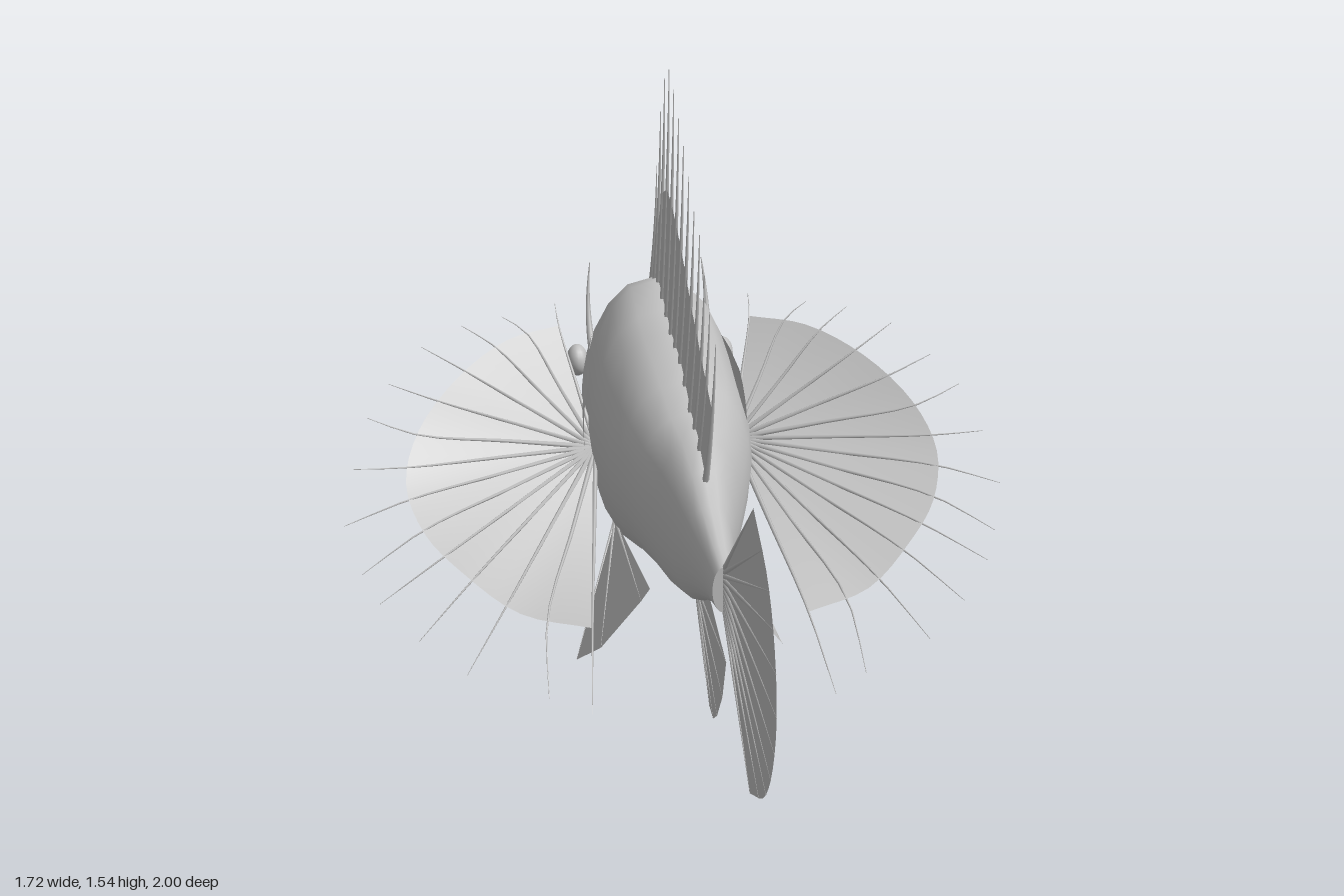
import * as THREE from 'three';
import { mergeVertices } from 'three/addons/utils/BufferGeometryUtils.js';

const grey = new THREE.MeshStandardMaterial({ color: 0xc0c0c0, side: THREE.DoubleSide });
grey.name = 'grey';

const V = (x, y, z) => new THREE.Vector3(x, y, z);

// Body stations: z, top, bottom, half width
const stations = [
  [0.43, 0.57, 0.455, 0.03], [0.35, 0.585, 0.44, 0.036], [0.22, 0.63, 0.385, 0.058],
  [0.14, 0.685, 0.34, 0.08], [0.05, 0.735, 0.315, 0.108], [-0.05, 0.757, 0.315, 0.14],
  [-0.15, 0.805, 0.3, 0.17], [-0.22, 0.835, 0.28, 0.186], [-0.38, 0.858, 0.225, 0.2],
  [-0.47, 0.89, 0.185, 0.205], [-0.6, 0.932, 0.16, 0.205], [-0.7, 0.91, 0.18, 0.2],
  [-0.8, 0.862, 0.235, 0.187], [-0.87, 0.822, 0.262, 0.168], [-0.935, 0.665, 0.335, 0.135],
  [-1, 0.51, 0.41, 0.1],
];

// Interpolated station at any z
function stationAt(z) {
  let i = 0;
  while (i < stations.length - 2 && z < stations[i + 1][0]) i++;
  const a = stations[i], b = stations[i + 1], t = (z - a[0]) / (b[0] - a[0]);
  return a.map((v, k) => v + (b[k] - v) * t);
}

// Closed oval ring of one station
function ring([z, top, bottom, w], n = 20) {
  return Array.from({ length: n + 1 }, (_, j) => {
    const a = ((j % n) / n) * Math.PI * 2, c = Math.cos(a);
    return V(w * Math.sign(c) * Math.abs(c) ** 0.88, (top + bottom) / 2 + ((top - bottom) / 2) * Math.sin(a), z);
  });
}

// Half width of the body at a point of its flank
function flankX(z, y) {
  const [, top, bottom, w] = stationAt(z);
  const s = (y - (top + bottom) / 2) / ((top - bottom) / 2);
  return w * Math.max(0, 1 - s * s) ** 0.44;
}

// Surface through rows of points
function skin(rows) {
  const n = rows[0].length, index = [];
  for (let i = 0; i < rows.length - 1; i++) {
    for (let j = 0; j < n - 1; j++) {
      const a = i * n + j, b = a + 1, c = a + n, d = c + 1;
      index.push(a, c, b, b, c, d);
    }
  }
  const g = new THREE.BufferGeometry().setFromPoints(rows.flat());
  g.setIndex(index);
  const merged = mergeVertices(g, 1e-5);
  merged.computeVertexNormals();
  return merged;
}

// Membrane spread from one hub to a rim
function fan(hub, rim) {
  return skin([rim.map(() => hub), rim]);
}

// Round spine that tapers to its tip
function spine(curve, r, steps = 10, tip = 0.1) {
  const g = new THREE.TubeGeometry(curve, steps, r, 5), p = g.attributes.position, v = V();
  for (let i = 0; i < p.count; i++) {
    const t = Math.floor(i / 6) / steps, c = curve.getPointAt(t);
    v.fromBufferAttribute(p, i).sub(c).multiplyScalar(1 - (1 - tip) * t).add(c);
    p.setXYZ(i, v.x, v.y, v.z);
  }
  return g;
}

export function createModel() {
  const model = new THREE.Group();
  const add = (geometry, name) => {
    const mesh = new THREE.Mesh(geometry, grey);
    mesh.name = name;
    model.add(mesh);
    return mesh;
  };

  // Body with closed tail end and hollow mouth
  const rings = stations.map((s) => ring(s));
  const tailRing = rings[0], mouthRing = rings[rings.length - 1];
  add(skin(rings), 'body');
  add(fan(V(0, 0.512, 0.43), tailRing), 'tailEnd');
  add(fan(V(0, 0.46, -0.95), mouthRing), 'mouth');

  // Dorsal fin: tip z, tip y, membrane height for each spine
  const dorsal = [
    [0.29, 1.05, 0.87], [0.21, 1.1, 0.91], [0.14, 1.165, 0.945], [0.07, 1.24, 0.99], [-0.01, 1.275, 1.03],
    [-0.085, 1.34, 1.08], [-0.165, 1.395, 1.125], [-0.24, 1.445, 1.165], [-0.315, 1.5, 1.2],
    [-0.39, 1.535, 1.22], [-0.465, 1.5, 1.19], [-0.54, 1.4, 1.08], [-0.615, 1.24, 0.94],
  ];
  const dorsalRows = dorsal.map(([z, y, edge]) => {
    const baseZ = z - 0.14, baseY = stationAt(baseZ)[1] - 0.03;
    const curve = new THREE.QuadraticBezierCurve3(
      V(0, baseY, baseZ), V(0, baseY + (y - baseY) * 0.5, z - 0.025), V(0, y, z));
    add(spine(curve, 0.009), 'dorsalSpine');
    let t = 0;
    while (t < 1 && curve.getPoint(t).y < edge) t += 0.01;
    return Array.from({ length: 7 }, (_, k) => curve.getPoint((t * k) / 6));
  });
  add(skin(dorsalRows), 'dorsalFin');

  // Tail fin
  const tailArc = new THREE.CatmullRomCurve3([
    [0.74, 0.85], [0.89, 0.765], [0.965, 0.66], [1, 0.512], [0.965, 0.364], [0.89, 0.26], [0.74, 0.175],
  ].map(([z, y]) => V(0, y, z)));
  const tailRim = tailArc.getPoints(20);
  const tailRoot = tailRim.map((_, i) => V(0, 0.565 - (0.106 * i) / 20, 0.425));
  add(skin([tailRoot, tailRim]), 'tailFin');
  for (let i = 0; i <= 20; i += 2) {
    add(spine(new THREE.LineCurve3(tailRoot[i], tailRim[i]), 0.007, 4), 'tailRay');
  }

  // Anal fin
  const analHub = V(0, 0.33, 0.02);
  const analRim = [[0.22, 0.39], [0.445, 0.335], [0.4, 0.22], [0.33, 0.13], [0.275, 0.09], [0.225, 0.095], [0.16, 0.15]]
    .map(([z, y]) => V(0, y, z));
  add(fan(analHub, analRim), 'analFin');
  analRim.slice(1).forEach((p) => add(spine(new THREE.LineCurve3(analHub, p), 0.006, 4), 'analRay'));

  // Paired parts
  for (const s of [1, -1]) {
    const side = s > 0 ? 'left' : 'right';
    const P = ([x, y, z]) => V(s * x, y, z);

    // Pectoral fin
    const hub = P([0.19, 0.5, -0.5]);
    const rim = new THREE.CatmullRomCurve3([
      [0.265, 0.79, -0.68], [0.41, 0.78, -0.61], [0.55, 0.72, -0.5], [0.66, 0.62, -0.39], [0.7, 0.52, -0.28],
      [0.66, 0.43, -0.16], [0.57, 0.36, -0.06], [0.44, 0.29, 0.04], [0.27, 0.27, 0.105],
    ].map(P));
    add(fan(hub, rim.getPoints(32)), side + 'PectoralFin');
    const tips = [
      [0.27, 0.84, -0.73], [0.42, 0.83, -0.66], [0.53, 0.82, -0.63], [0.64, 0.79, -0.56], [0.73, 0.72, -0.48],
      [0.79, 0.66, -0.4], [0.83, 0.56, -0.3], [0.86, 0.44, -0.22], [0.82, 0.35, -0.12], [0.78, 0.3, -0.05],
      [0.69, 0.24, 0.05], [0.58, 0.18, 0.13], [0.39, 0.155, 0.23], [0.295, 0.15, 0.31],
    ].map(P);
    tips.forEach((tip, i) => {
      const edge = rim.getPoint(i / (tips.length - 1));
      const curve = new THREE.CatmullRomCurve3([hub, hub.clone().lerp(edge, 0.5), edge, tip]);
      add(spine(curve, 0.008), side + 'PectoralRay');
    });

    // Pelvic fin, splayed outward
    const pelvic = (z, y) => P([0.11 + (0.17 * (0.33 - y)) / 0.33, y, z]);
    const pelvicHub = pelvic(-0.515, 0.275);
    const pelvicRim = [pelvic(-0.235, 0), pelvic(-0.105, 0.1), pelvic(0, 0.28), pelvic(0.015, 0.32)];
    add(fan(pelvicHub, pelvicRim), side + 'PelvicFin');
    pelvicRim.slice(0, 3).forEach((p) => add(spine(new THREE.LineCurve3(pelvicHub, p), 0.006, 4), side + 'PelvicRay'));

    // Gill cover lying on the flank
    const gill = Array.from({ length: 7 }, (_, i) => Array.from({ length: 9 }, (_, j) => {
      const u = i / 6, v = j / 8;
      const y = (0.34 + 0.055 * u) * (1 - v) + (0.76 - 0.06 * u) * v;
      const z = -0.69 + u * (0.235 - 0.04 * v);
      return P([flankX(z, y) + 0.006 + 0.012 * u, y, z]);
    }));
    add(skin(gill), side + 'GillCover');

    // Eye
    const eye = add(new THREE.SphereGeometry(1, 16, 12), side + 'Eye');
    eye.scale.set(0.03, 0.045, 0.042);
    eye.position.copy(P([0.207, 0.655, -0.775]));

    // Brow horn and chin feeler
    add(spine(new THREE.QuadraticBezierCurve3(
      P([0.165, 0.69, -0.78]), P([0.175, 0.79, -0.84]), P([0.158, 0.915, -0.852])), 0.012), side + 'BrowHorn');
    add(spine(new THREE.QuadraticBezierCurve3(
      P([0.06, 0.42, -0.975]), P([0.075, 0.33, -0.965]), P([0.075, 0.245, -0.91])), 0.009), side + 'ChinFeeler');
  }
  return model;
}
